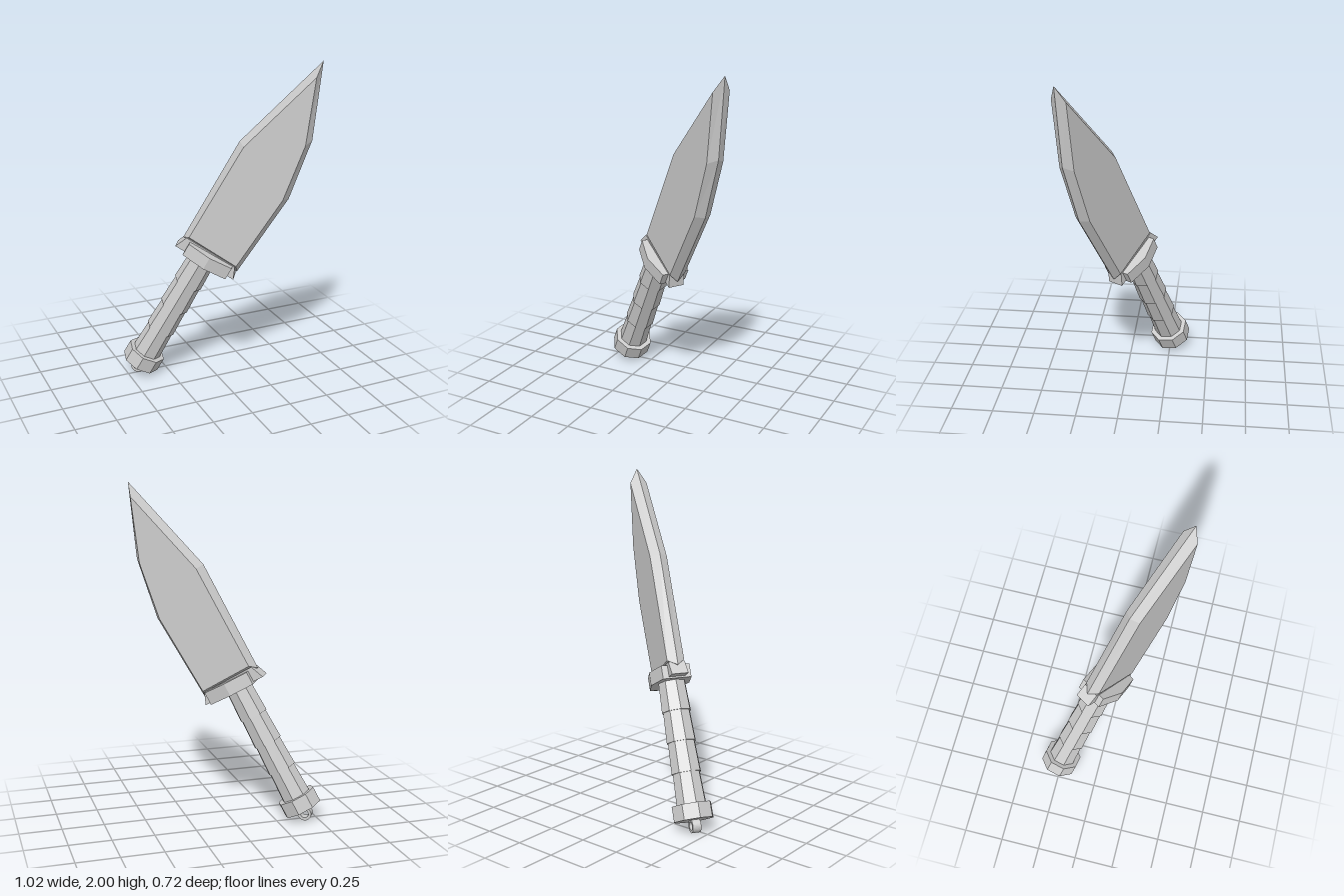
import * as THREE from 'three';

const material = new THREE.MeshStandardMaterial({ color: 0xcccccc, flatShading: true });

function addMesh(parent, name, geometry) {
  const mesh = new THREE.Mesh(geometry, material);
  mesh.name = name;
  parent.add(mesh);
  return mesh;
}

function extrude(points, depth) {
  const shape = new THREE.Shape(points.map(([x, y]) => new THREE.Vector2(x, y)));
  return new THREE.ExtrudeGeometry(shape, { depth, bevelEnabled: false }).translate(0, 0, -depth / 2);
}

// Two flat sides whose rims bevel out to a shared sharp edge
function bladeGeometry(flat, edge, thickness) {
  const n = flat.length, h = thickness / 2, index = [];
  const positions = [
    ...flat.flatMap(([x, y]) => [x, y, h]),
    ...edge.flatMap(([x, y]) => [x, y, 0]),
    ...flat.flatMap(([x, y]) => [x, y, -h]),
  ];
  for (let i = 0; i < n; i++) {
    const j = (i + 1) % n;
    for (const a of [0, n]) {
      index.push(a + i, a + n + i, a + n + j, a + i, a + n + j, a + j);
    }
    if (i > 0 && i < n - 1) index.push(0, i, i + 1, 2 * n, 2 * n + i + 1, 2 * n + i);
  }
  const geometry = new THREE.BufferGeometry();
  geometry.setAttribute('position', new THREE.Float32BufferAttribute(positions, 3));
  geometry.setIndex(index);
  const faceted = geometry.toNonIndexed();
  faceted.computeVertexNormals();
  return faceted;
}

export function createModel() {
  const model = new THREE.Group();
  model.name = 'knife';

  // The knife lies in a vertical plane turned about y
  const plane = new THREE.Group();
  plane.name = 'knifeBody';
  plane.rotation.y = -0.567;
  model.add(plane);

  // Blade: base, cutting edge, tip, spine
  addMesh(plane, 'blade', bladeGeometry(
    [[0.121, 0.767], [0.39, 1.196], [0.51, 1.524], [0.56, 1.915], [0.159, 1.503], [-0.161, 0.937]],
    [[0.12, 0.715], [0.42, 1.19], [0.545, 1.545], [0.593, 2], [0.13, 1.525], [-0.205, 0.92]],
    0.105
  ));

  // Hilt leans within that plane; its y runs from pommel to guard
  const hilt = new THREE.Group();
  hilt.name = 'hilt';
  hilt.position.set(-0.488, 0.07, 0);
  hilt.rotation.z = -0.506;
  plane.add(hilt);

  // Guard: faceted collar with a narrow bar through it
  const collar = [[-0.146, -0.087], [0, -0.12], [0.146, -0.087], [0.146, 0.087], [0, 0.12], [-0.146, 0.087]];
  const collarMesh = addMesh(hilt, 'guardCollar', extrude(collar, 0.08).rotateX(-Math.PI / 2));
  collarMesh.position.set(0.03, 0.854, 0);
  const bar = addMesh(hilt, 'guardBar',
    extrude([[-0.18, -0.01], [0.222, -0.012], [0.19, 0.062], [-0.145, 0.072]], 0.1));
  bar.position.y = 0.834;

  // Grip: stacked eight-sided tapered segments
  const segments = 4, bottom = 0.09, height = 0.182;
  for (let i = 0; i < segments; i++) {
    const segment = addMesh(hilt, 'gripSegment', new THREE.CylinderGeometry(0.083, 0.09, height, 8));
    segment.position.y = bottom + (i + 0.5) * height;
  }

  // Pommel and lanyard ring
  const pommel = addMesh(hilt, 'pommel', new THREE.CylinderGeometry(0.12, 0.12, 0.09, 8));
  pommel.position.y = 0.045;

  const ring = new THREE.Shape().absarc(0, 0, 0.041, 0, Math.PI * 2);
  ring.holes.push(new THREE.Path().absarc(0, 0, 0.024, 0, Math.PI * 2, true));
  const ringGeometry = new THREE.ExtrudeGeometry(ring, { depth: 0.05, bevelEnabled: false, curveSegments: 16 });
  const ringMesh = addMesh(hilt, 'lanyardRing', ringGeometry.translate(0, 0, -0.025));
  ringMesh.position.y = -0.031;

  return model;
}
